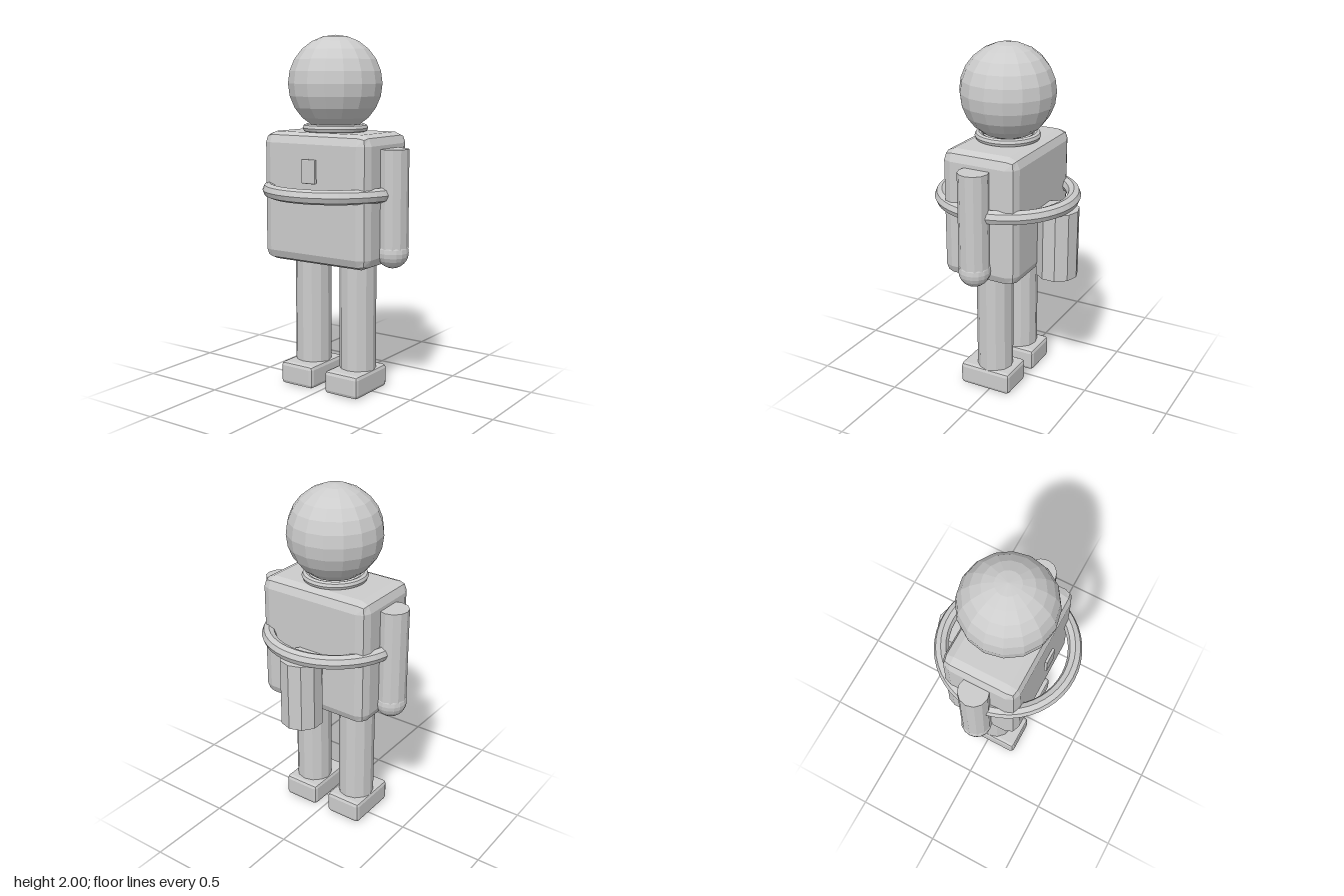
import * as THREE from 'three';
import { RoundedBoxGeometry } from 'three/addons/geometries/RoundedBoxGeometry.js';

export function createModel() {
  const model = new THREE.Group();
  model.name = 'toyRobot';
  const grey = new THREE.MeshStandardMaterial({ color: 0xcccccc });
  grey.name = 'grey';

  // Adds a faceted mesh: split faces get their own flat normals
  const add = (name, geometry, x, y, z) => {
    const g = geometry.index ? geometry.toNonIndexed() : geometry;
    g.computeVertexNormals();
    const mesh = new THREE.Mesh(g, grey);
    mesh.name = name;
    mesh.position.set(x, y, z);
    model.add(mesh);
    return mesh;
  };
  const box = (w, h, d, r) => new RoundedBoxGeometry(w, h, d, 1, r);
  const ring = (radius, tube, sides) =>
    new THREE.TorusGeometry(radius, tube, sides, 48).rotateX(Math.PI / 2);
  const Z = 0.01; // centre line of the body

  // Head, neck and torso
  add('head', new THREE.SphereGeometry(0.265, 16, 12), 0, 1.735, Z);
  add('neckRing', ring(0.16, 0.023, 8), 0, 1.49, Z);
  add('torso', box(0.696, 0.73, 0.45, 0.06), 0, 1.105, Z);
  add('waistRing', ring(0.371, 0.04, 8), 0, 1.145, Z);
  add('chestPlate', box(0.093, 0.134, 0.018, 0.006), 0, 1.265, 0.261);
  add('backTank', new THREE.CylinderGeometry(0.119, 0.119, 0.395, 10), 0, 0.917, -0.304);

  // Limbs, mirrored left and right
  for (const [side, s] of [['left', 1], ['right', -1]]) {
    add(side + 'Arm', new THREE.CylinderGeometry(0.085, 0.085, 0.57, 12), s * 0.382, 1.105, Z);
    add(side + 'Hand', new THREE.SphereGeometry(0.089, 16, 12), s * 0.382, 0.825, Z);
    add(side + 'Leg', new THREE.CylinderGeometry(0.104, 0.104, 0.61, 12), s * 0.155, 0.423, Z);
    add(side + 'Foot', box(0.222, 0.133, 0.318, 0.022), s * 0.154, 0.0665, 0.027);
  }
  return model;
}
